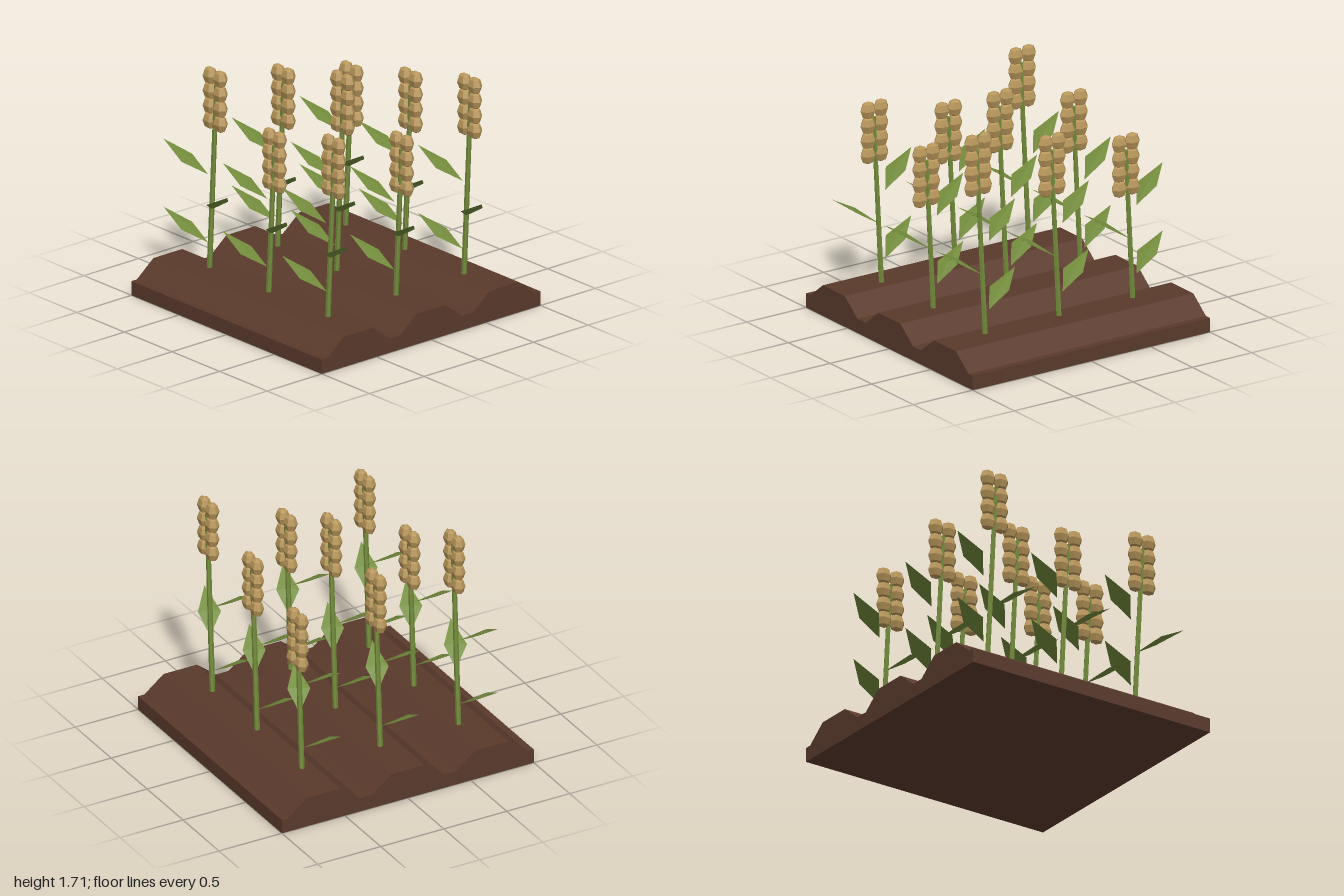
import * as THREE from 'three';
import { ConvexGeometry } from 'three/addons/geometries/ConvexGeometry.js';

const mat = (name, color) => {
  const m = new THREE.MeshStandardMaterial({ color, flatShading: true });
  m.name = name;
  return m;
};

// Thin diamond blade rising away from the stalk; dir is +1 or -1 along z
function leafGeometry(dir) {
  const [a, b, c, d] = [
    [0.01, 0, 0.02], [-0.14, 0.1, 0.13], [-0.125, 0.208, 0.335], [0.01, 0.105, 0.19],
  ].map(([x, y, z]) => new THREE.Vector3(x, y, z * dir));
  const mid = a.clone().add(b).add(c).add(d).multiplyScalar(0.25);
  const normal = c.clone().sub(a).cross(d.clone().sub(b)).normalize().multiplyScalar(0.01);
  return new ConvexGeometry([a, b, c, d, mid.clone().add(normal), mid.clone().sub(normal)]);
}

export function createModel() {
  const soilMat = mat('soil brown', 0x5a3a2c);
  const greenMat = mat('plant green', 0x738c3c);
  const grainMat = mat('grain gold', 0xb8965a);

  const model = new THREE.Group();
  model.name = 'cropField';
  const add = (parent, name, geometry, material, x = 0, y = 0, z = 0) => {
    const mesh = new THREE.Mesh(geometry, material);
    mesh.name = name;
    mesh.position.set(x, y, z);
    parent.add(mesh);
    return mesh;
  };

  // Soil bed with three raised ridges
  const spacing = 0.622, low = 0.105, high = 0.225;
  const soil = new THREE.Shape();
  soil.moveTo(-1, 0);
  soil.lineTo(-1, low);
  for (let i = -1; i <= 1; i++) {
    const cx = i * 0.667;
    soil.lineTo(cx - 0.284, low);
    soil.lineTo(cx - 0.132, high);
    soil.lineTo(cx + 0.132, high);
    soil.lineTo(cx + 0.284, low);
  }
  soil.lineTo(1, low);
  soil.lineTo(1, 0);
  const soilGeo = new THREE.ExtrudeGeometry(soil, { depth: 2, bevelEnabled: false });
  add(model, 'soilBed', soilGeo, soilMat, 0, 0, -1);

  // Shared plant parts
  const leafFront = leafGeometry(1), leafBack = leafGeometry(-1);
  const grainGeo = new THREE.SphereGeometry(1, 6, 4).rotateY(Math.PI / 6).scale(0.048, 0.066, 0.062);

  // Leaning stalk, three leaves and a double row of grains
  function plant(headBottom) {
    const g = new THREE.Group();
    g.name = 'plant';
    const base = new THREE.Vector3(0, 0.18, 0.003);
    const top = headBottom + 0.34;
    const tip = new THREE.Vector3(0, top, 0.003 + 0.053 * (top - 0.18));
    const dir = tip.clone().sub(base);
    const stalk = add(g, 'stalk', new THREE.CylinderGeometry(0.017, 0.02, dir.length(), 6), greenMat);
    stalk.position.copy(base).add(tip).multiplyScalar(0.5);
    stalk.quaternion.setFromUnitVectors(new THREE.Vector3(0, 1, 0), dir.normalize());

    add(g, 'lowerLeaf', leafBack, greenMat, 0, 0.397, 0);
    add(g, 'middleLeaf', leafFront, greenMat, 0, 0.655, 0);
    add(g, 'upperLeaf', leafBack, greenMat, 0, 0.9, 0);

    const head = new THREE.Group();
    head.name = 'grainHead';
    for (const z of [0.01, 0.118]) {
      for (let i = 0; i < 4; i++) add(head, 'grain', grainGeo, grainMat, 0, headBottom + 0.066 + i * 0.11, z);
    }
    g.add(head);
    return g;
  }

  // Three rows of three, cycling through short, medium and tall heads
  const headHeights = [1.25, 1.115, 0.98];
  for (let i = 0; i < 3; i++) {
    for (let j = 0; j < 3; j++) {
      const p = plant(headHeights[(i - j + 3) % 3]);
      p.position.set((i - 1) * spacing, 0, (j - 1) * spacing + 0.003);
      model.add(p);
    }
  }
  return model;
}
